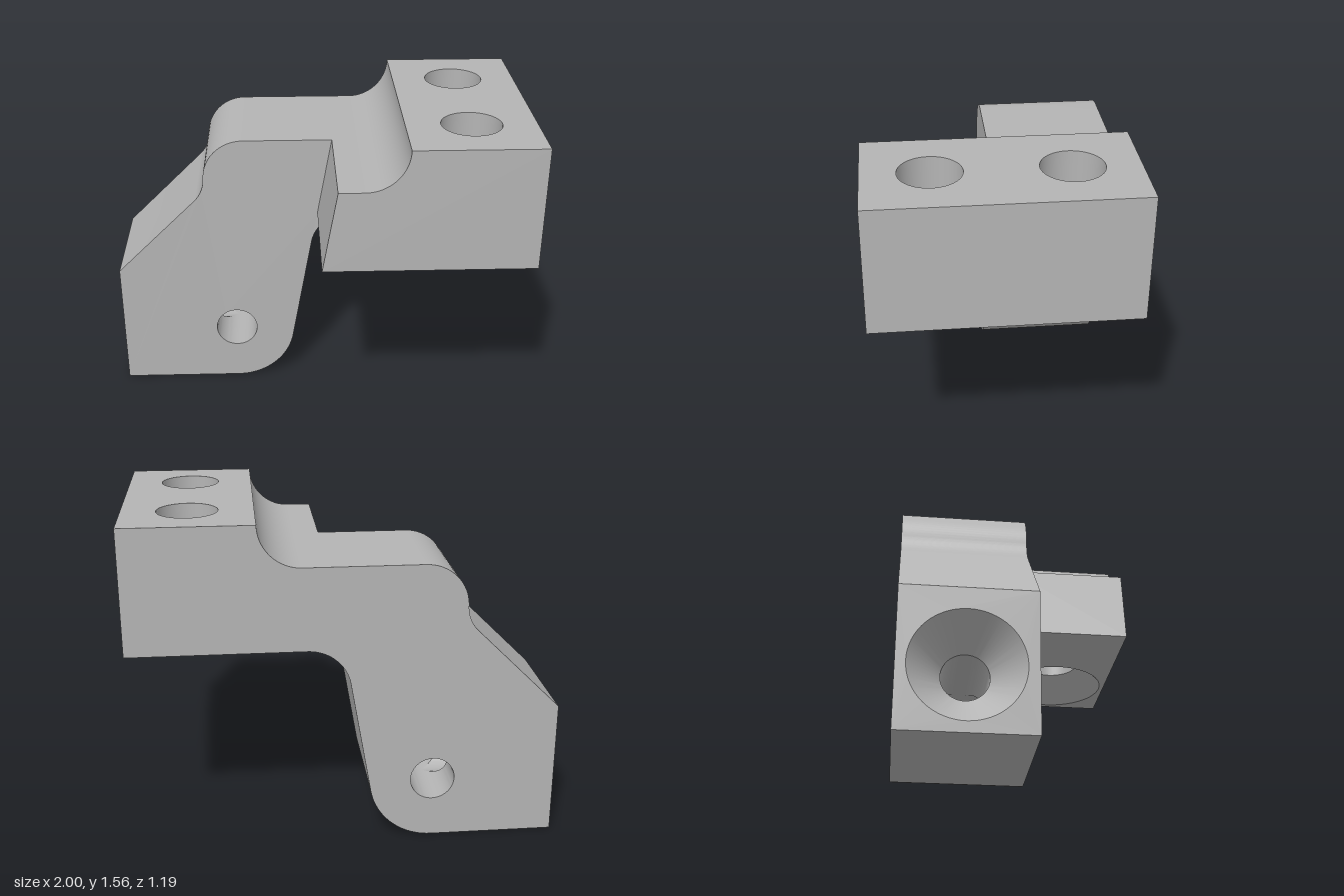
import * as THREE from 'three';
import { toCreasedNormals } from 'three/addons/utils/BufferGeometryUtils.js';

const D = 0.595;            // half depth
const SEG = 64;
const PIVOT = { x: -0.41, y: 0.3, z: -0.3, r: 0.105 };
const BOLT = { x: 0.7, z: 0.3, r: 0.14, sink: 0.272, depth: 0.135 };
const LOW = 0.97, STEP = 1.363, TOP = 1.56;

const rad = (deg) => (deg * Math.PI) / 180;

// points along an arc, angles in degrees
function arc(cx, cy, r, from, to, n = 20) {
  return Array.from({ length: n + 1 }, (_, i) => {
    const a = rad(from + ((to - from) * i) / n);
    return [cx + r * Math.cos(a), cy + r * Math.sin(a)];
  });
}

// surface stretched between two matching rows of 3D points
function ruled(a, b) {
  const pos = [];
  for (let i = 0; i < a.length - 1; i++) {
    pos.push(...a[i], ...a[i + 1], ...b[i + 1], ...a[i], ...b[i + 1], ...b[i]);
  }
  const g = new THREE.BufferGeometry();
  g.setAttribute('position', new THREE.Float32BufferAttribute(pos, 3));
  return toCreasedNormals(g, rad(25));
}

// side wall following an outline between two depths
const wall = (path, z0, z1) =>
  ruled(path.map(([x, y]) => [x, y, z0]), path.map(([x, y]) => [x, y, z1]));

// row of points round a full turn
const loop = (f) =>
  Array.from({ length: SEG + 1 }, (_, i) => {
    const t = (i / SEG) * Math.PI * 2;
    return f(Math.cos(t), Math.sin(t));
  });

// flat face with round holes given as [x, y, radius]
function face(points, holes = []) {
  const s = new THREE.Shape(points.map(([x, y]) => new THREE.Vector2(x, y)));
  for (const [x, y, r] of holes) {
    s.holes.push(new THREE.Path().absarc(x, y, r, 0, Math.PI * 2, true));
  }
  return new THREE.ShapeGeometry(s, SEG / 2);
}

export function createModel() {
  const group = new THREE.Group();
  const metal = new THREE.MeshStandardMaterial({ color: 0xb4b4b4 });
  metal.name = 'plain grey';
  const add = (name, geometry) => {
    const m = new THREE.Mesh(geometry, metal);
    m.name = name;
    group.add(m);
  };

  // outline pieces, counter-clockwise
  const seamLow = [0.013, LOW], seamTop = [0.082, STEP];
  const underside = [
    [-1, 0],
    ...arc(PIVOT.x, PIVOT.y, 0.3, -90, -10),
    ...arc(0.18, LOW - 0.2, 0.2, 170, 90),
  ];
  const end = [[1, LOW], [1, TOP]];
  const step = [...arc(0.2, TOP, TOP - STEP, 0, -90), seamTop];
  const shoulder = [
    seamTop,
    ...arc(-0.35, STEP - 0.2, 0.2, 90, 180),
    ...arc(-0.72, STEP - 0.2, 0.17, 0, -45).slice(1),
    [-1, 0.65],
  ];
  const hole = [PIVOT.x, PIVOT.y, PIVOT.r];

  // flat sides
  const outline = [...underside, ...end, ...step, ...shoulder.slice(1)];
  add('backFace', face(
    outline.map(([x, y]) => [-x, y]).reverse(),
    [[-hole[0], hole[1], hole[2]]],
  ).rotateY(Math.PI).translate(0, 0, -D));
  add('armFrontFace', face([...underside, seamLow, ...shoulder], [hole]));
  add('blockFrontFace', face([seamLow, ...end, ...step]).translate(0, 0, D));

  // walls round the outline
  add('armUnderside', wall(underside, -D, 0));
  add('armShoulder', wall(shoulder, -D, 0));
  add('blockStep', wall(step, -D, D));
  add('blockEnd', wall(end, -D, D));
  add('blockInnerEnd', wall([seamTop, seamLow], 0, D));

  // pierced faces
  const bolts = (r) => [[BOLT.x, -BOLT.z, r], [BOLT.x, BOLT.z, r]];
  const topX = 0.2 + TOP - STEP;
  add('blockTop', face([[topX, -D], [1, -D], [1, D], [topX, D]], bolts(BOLT.r))
    .rotateX(-Math.PI / 2).translate(0, TOP, 0));
  add('blockUnderside', face(
    [[0.18, -D], [1, -D], [1, D], [seamLow[0], D], [seamLow[0], 0], [0.18, 0]],
    bolts(BOLT.sink),
  ).rotateX(Math.PI / 2).translate(0, LOW, 0));
  add('armEnd', face([[-D, 0], [0, 0], [0, 0.65], [-D, 0.65]], [[PIVOT.z, PIVOT.y, 0.25]])
    .rotateY(-Math.PI / 2).translate(-1, 0, 0));

  // countersunk bolt holes
  for (const z of [-BOLT.z, BOLT.z]) {
    const ring = (r, y) => loop((c, s) => [BOLT.x + r * c, y, z + r * s]);
    const neck = ring(BOLT.r, LOW + BOLT.depth);
    add('boltCountersink', ruled(ring(BOLT.sink, LOW), neck));
    add('boltHole', ruled(neck, ring(BOLT.r, TOP)));
  }

  // countersunk bore that opens into the cross hole
  const { x, y, z, r } = PIVOT;
  const boreRing = (q, px) => loop((c, s) => [px, y + q * s, z + q * c]);
  const boreNeck = boreRing(r, -0.857);
  add('boreCountersink', ruled(boreRing(0.25, -1), boreNeck));
  add('bore', ruled(boreNeck, loop((c, s) => [x - r * Math.abs(c), y + r * s, z + r * c])));

  // cross hole, its wall parted where the bore enters
  const crossRing = (depth) => loop((c, s) => [x + r * c, y - r * s, depth(c)]);
  const gap = (c) => r * Math.max(0, -c);
  add('crossHoleBack', ruled(crossRing(() => -D), crossRing((c) => z - gap(c))));
  add('crossHoleFront', ruled(crossRing((c) => z + gap(c)), crossRing(() => 0)));

  return group;
}
